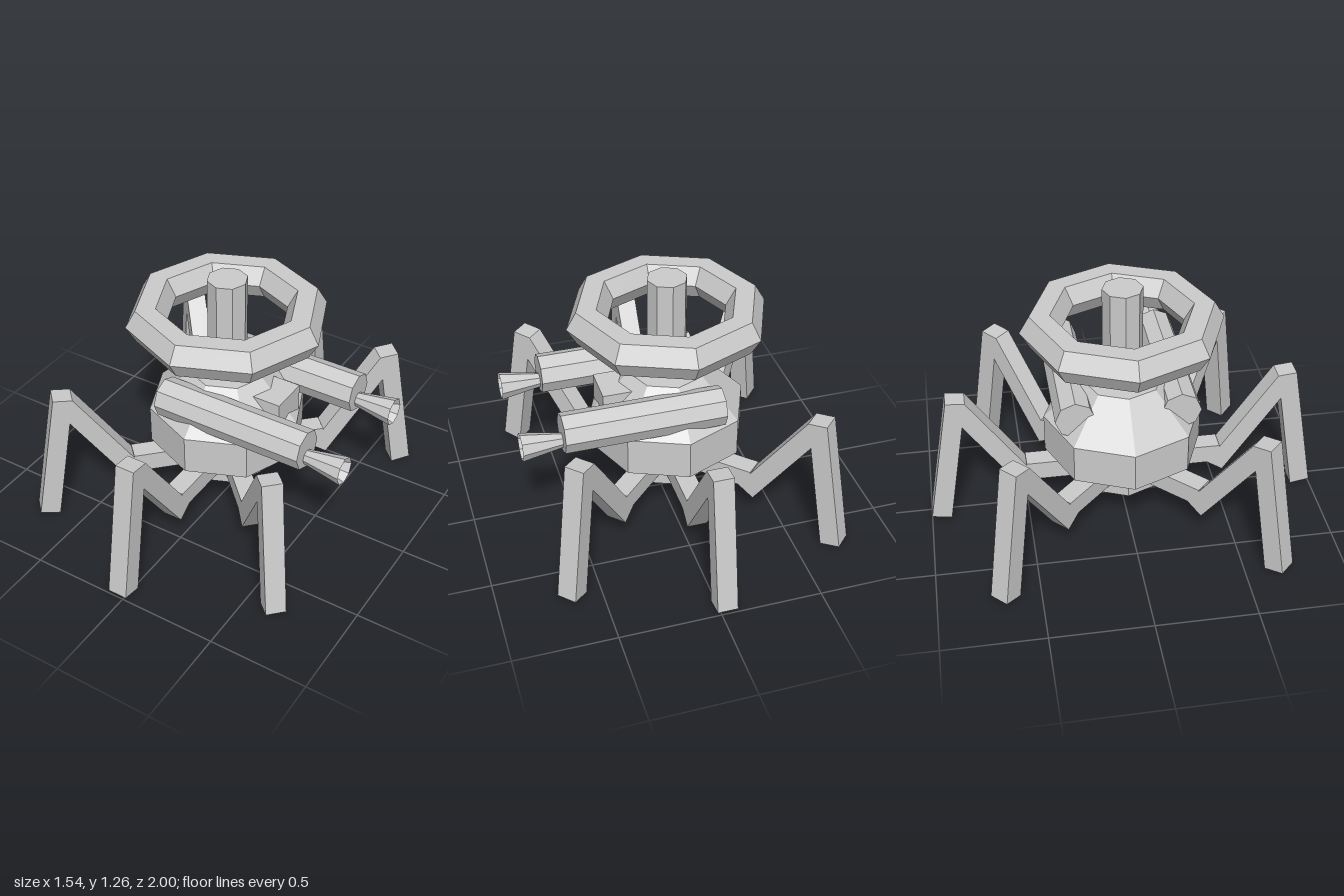
import * as THREE from 'three';

const material = new THREE.MeshStandardMaterial({ color: 0xcccccc, flatShading: true });
const thinMaterial = new THREE.MeshStandardMaterial({ color: 0xcccccc, flatShading: true, side: THREE.DoubleSide });

function addPart(parent, name, geometry, x = 0, y = 0, z = 0, mat = material) {
  const mesh = new THREE.Mesh(geometry, mat);
  mesh.name = name;
  mesh.position.set(x, y, z);
  parent.add(mesh);
  return mesh;
}

// Upright octagonal drum between two heights
function addDrum(parent, name, bottomRadius, topRadius, y0, y1) {
  addPart(parent, name, new THREE.CylinderGeometry(topRadius, bottomRadius, y1 - y0, 8), 0, (y0 + y1) / 2);
}

// Flat outline (distance from axis, height) given the thickness of a leg
function legSegment(corners) {
  const shape = new THREE.Shape(corners.map(([r, y]) => new THREE.Vector2(r, y)));
  return new THREE.ExtrudeGeometry(shape, { depth: 0.1, bevelEnabled: false }).translate(0, 0, -0.05);
}

export function createModel() {
  const model = new THREE.Group();
  model.name = 'walkingTurret';
  const body = new THREE.Group();
  body.name = 'body';
  body.position.x = -0.03;
  model.add(body);

  // Hub, turret and mast on one axis
  addDrum(body, 'hub', 0.2, 0.2, 0.15, 0.36);
  addDrum(body, 'turret', 0.4, 0.4, 0.355, 0.555);
  addDrum(body, 'turretRoof', 0.4, 0.2, 0.555, 0.755);
  addDrum(body, 'mast', 0.1, 0.1, 0.74, 1.26);
  addPart(body, 'mastRing', new THREE.TorusGeometry(0.4, 0.1, 6, 8).rotateX(Math.PI / 2), 0, 1.055, 0);

  // Sight box set into the slope of the roof
  addPart(body, 'sightBox', new THREE.BoxGeometry(0.2, 0.15, 0.2), 0.255, 0.631, 0);

  // Twin guns with flared, hollow muzzles
  const barrel = new THREE.CylinderGeometry(0.1, 0.1, 0.8, 8).rotateZ(-Math.PI / 2);
  const flare = [[0.035, -0.01], [0.07, 0.2], [0, 0.02]].map(([r, y]) => new THREE.Vector2(r, y));
  const muzzle = new THREE.LatheGeometry(flare, 8).rotateZ(-Math.PI / 2);
  for (const side of [-1, 1]) {
    const gun = new THREE.Group();
    gun.name = side > 0 ? 'frontGun' : 'backGun';
    gun.position.set(0, 0.655, side * 0.262);
    addPart(gun, 'barrel', barrel, 0.2);
    addPart(gun, 'muzzle', muzzle, 0.6, -0.04, 0, thinMaterial);
    body.add(gun);
  }

  // Six jointed legs, leaving the two sides along x free
  const hip = legSegment([[0.1, 0.2], [0.5, 0.2], [0.5, 0.3], [0.1, 0.3]]);
  const thigh = legSegment([[0.437, 0.2], [0.52, 0.145], [0.851, 0.63], [0.785, 0.705]]);
  const shin = legSegment([[0.9, 0], [1, 0.018], [0.88, 0.715], [0.785, 0.705]]);
  for (const degrees of [45, 90, 135, 225, 270, 315]) {
    const leg = new THREE.Group();
    leg.name = 'leg';
    leg.rotation.y = THREE.MathUtils.degToRad(degrees);
    addPart(leg, 'hip', hip);
    addPart(leg, 'thigh', thigh);
    addPart(leg, 'shin', shin);
    body.add(leg);
  }
  return model;
}
